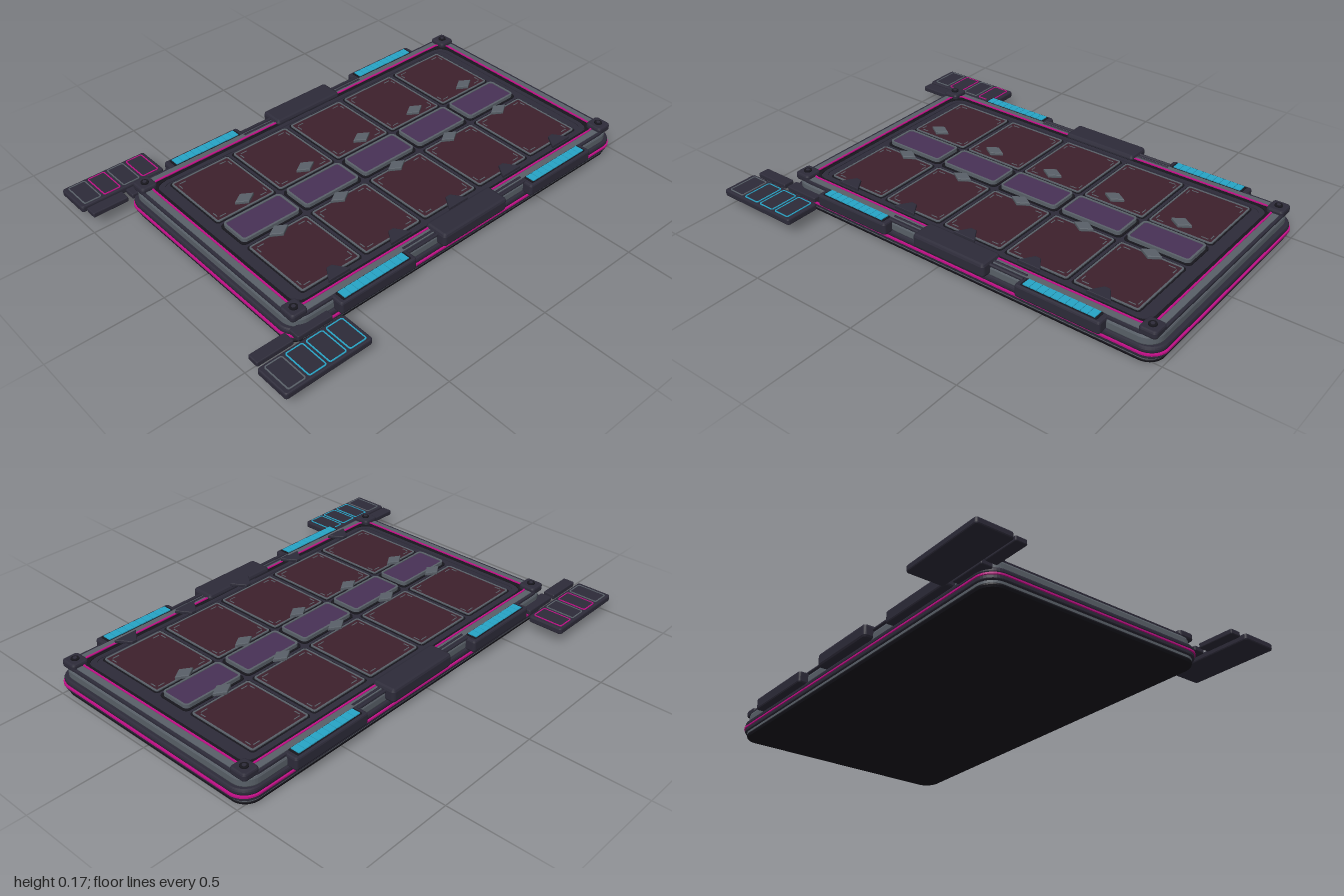
import * as THREE from 'three';

const mat = (name, color) => {
  const m = new THREE.MeshStandardMaterial({ color });
  m.name = name;
  return m;
};

export function createModel() {
  const black = mat('black', 0x17161d);
  const dark = mat('dark slate', 0x2d2b39);
  const grey = mat('steel grey', 0x596068);
  const maroon = mat('maroon', 0x3d202c);
  const purple = mat('purple', 0x483156);
  const magenta = mat('magenta', 0xc00f86);
  const cyan = mat('cyan', 0x27a4c6);

  const model = new THREE.Group();
  model.name = 'cardBoard';
  const CX = 0.09;

  // Rounded rectangle outline, centred on the origin
  const outline = (w, d, r, Type = THREE.Shape) => {
    const s = new Type(), x = w / 2, y = d / 2;
    s.moveTo(-x + r, -y);
    s.lineTo(x - r, -y);
    s.absarc(x - r, -y + r, r, -Math.PI / 2, 0, false);
    s.lineTo(x, y - r);
    s.absarc(x - r, y - r, r, 0, Math.PI / 2, false);
    s.lineTo(-x + r, y);
    s.absarc(-x + r, y - r, r, Math.PI / 2, Math.PI, false);
    s.lineTo(-x, -y + r);
    s.absarc(-x + r, -y + r, r, Math.PI, Math.PI * 1.5, false);
    return s;
  };

  // Extrude a plan shape between heights y0 and y1
  const raise = (name, shape, m, x, z, y0, y1, bevel = 0) => {
    const g = new THREE.ExtrudeGeometry(shape, {
      depth: y1 - y0 - 2 * bevel, curveSegments: 5,
      bevelEnabled: bevel > 0, bevelThickness: bevel, bevelSize: bevel,
      bevelOffset: -bevel, bevelSegments: 2,
    });
    g.rotateX(-Math.PI / 2);
    const mesh = new THREE.Mesh(g, m);
    mesh.name = name;
    mesh.position.set(x, y0 + bevel, z);
    model.add(mesh);
    return mesh;
  };

  const slab = (name, m, x, z, w, d, r, y0, y1, bevel = 0) =>
    raise(name, outline(w, d, r), m, x, z, y0, y1, bevel);

  const ring = (name, m, x, z, w, d, r, t, y0, y1) => {
    const s = outline(w, d, r);
    s.holes.push(outline(w - 2 * t, d - 2 * t, Math.max(r - t, 0.002), THREE.Path));
    return raise(name, s, m, x, z, y0, y1);
  };

  const box = (name, m, x, y, z, w, h, d) => {
    const mesh = new THREE.Mesh(new THREE.BoxGeometry(w, h, d), m);
    mesh.name = name;
    mesh.position.set(x, y, z);
    model.add(mesh);
  };

  // Layered base tray
  slab('baseBottom', black, CX, 0, 1.79, 1.05, 0.07, 0, 0.026, 0.012);
  slab('baseTrim', grey, CX, 0, 1.79, 1.05, 0.07, 0.018, 0.03);
  slab('baseMiddle', dark, CX, 0, 1.81, 1.066, 0.075, 0.028, 0.046, 0.004);
  slab('baseGlowStrip', magenta, CX, 0, 1.82, 1.074, 0.078, 0.044, 0.051);
  slab('baseTop', dark, CX, 0, 1.81, 1.066, 0.075, 0.05, 0.076, 0.009);

  // Upper body with its rim
  slab('upperBody', grey, CX, 0, 1.775, 1.045, 0.07, 0.07, 0.115, 0.01);
  ring('upperRimEdge', dark, CX, 0, 1.765, 1.035, 0.07, 0.012, 0.105, 0.122);
  ring('upperRail', grey, CX, 0, 1.741, 1.011, 0.06, 0.032, 0.1, 0.125);
  ring('railGroove', black, CX, 0, 1.70, 0.97, 0.05, 0.02, 0.11, 0.124);
  ring('deckGlowLine', magenta, CX, 0, 1.685, 0.955, 0.05, 0.008, 0.11, 0.128);
  slab('deck', dark, CX, 0, 1.655, 0.93, 0.06, 0.1, 0.118);
  ring('deckLip', black, CX, 0, 1.668, 0.942, 0.06, 0.016, 0.11, 0.122);
  ring('deckBorder', dark, CX, 0, 1.636, 0.91, 0.06, 0.02, 0.11, 0.121);

  // Corner caps with bolts
  for (const sx of [-1, 1]) for (const sz of [-1, 1]) {
    const x = CX + sx * 0.848, z = sz * 0.477;
    slab('cornerCap', dark, x, z, 0.075, 0.078, 0.015, 0.11, 0.142, 0.008);
    const bolt = new THREE.Mesh(new THREE.CylinderGeometry(0.017, 0.017, 0.008, 12), black);
    bolt.name = 'cornerBolt';
    bolt.position.set(x, 0.143, z);
    model.add(bolt);
    const core = new THREE.Mesh(new THREE.CylinderGeometry(0.009, 0.009, 0.01, 6), dark);
    core.name = 'boltHead';
    core.position.set(x, 0.144, z);
    model.add(core);
  }

  // Plan shapes of the markers
  const diamond = new THREE.Shape([[-0.046, 0], [0, -0.03], [0.046, 0], [0, 0.03]]
    .map(p => new THREE.Vector2(...p)));
  const wedge = new THREE.Shape([[-0.053, -0.03], [0.053, -0.03], [0.012, 0.03], [-0.012, 0.03]]
    .map(p => new THREE.Vector2(...p)));

  // Five columns of card slots
  for (let i = 0; i < 5; i++) {
    const x = 0.087 + (i - 2) * 0.309;
    for (const s of [-1, 1]) {
      const z = s * 0.259;
      slab('slotShadow', black, x, z, 0.295, 0.335, 0.014, 0.115, 0.1195);
      slab('slotPanel', maroon, x, z, 0.272, 0.312, 0.01, 0.116, 0.122);
      ring('slotFrame', grey, x, z, 0.282, 0.322, 0.012, 0.007, 0.116, 0.124);
      // Corner tick marks
      for (const a of [-1, 1]) for (const b of [-1, 1]) {
        box('slotTick', grey, x + a * 0.1, 0.1225, z + b * 0.138, 0.03, 0.002, 0.004);
        box('slotTick', grey, x + a * 0.122, 0.1225, z + b * 0.118, 0.004, 0.002, 0.026);
      }
    }
    slab('centreSlotBase', black, x, 0, 0.298, 0.156, 0.02, 0.115, 0.122);
    slab('centreSlotPanel', purple, x, 0, 0.265, 0.125, 0.014, 0.117, 0.134);
    ring('centreSlotFrame', grey, x, 0, 0.28, 0.14, 0.02, 0.009, 0.117, 0.137);
    raise('rearDiamond', diamond, grey, x, -0.11, 0.15, 0.165, 0.003);
    raise('frontDiamond', diamond, grey, x, 0.106, 0.122, 0.137, 0.003);
    raise('frontWedge', wedge, dark, x, 0.433, 0.136, 0.15, 0.003);
  }

  for (const s of [-1, 1]) {
    // Lit clips along the long edges
    for (const x of [-0.424, 0.592]) {
      slab('edgeClip', dark, x, s * 0.53, 0.375, 0.072, 0.012, 0.07, 0.123, 0.008);
      slab('clipWindow', black, x, s * 0.53, 0.335, 0.048, 0.006, 0.12, 0.125);
      for (let k = 0; k < 10; k++)
        box('clipLight', cyan, x + (k - 4.5) * 0.0318, 0.126, s * 0.53, 0.0295, 0.006, 0.04);
    }
    // Central latch and its cable rods
    slab('edgeLatch', dark, CX - 0.004, s * 0.51, 0.352, 0.108, 0.015, 0.08, 0.14, 0.012);
    for (const x of [-0.165, 0.335]) for (const dz of [0.495, 0.52]) {
      const rod = new THREE.Mesh(new THREE.CylinderGeometry(0.007, 0.007, 0.16, 8), dark);
      rod.name = 'cableRod';
      rod.rotation.z = Math.PI / 2;
      rod.position.set(x, 0.122, s * dz);
      model.add(rod);
    }

    // Side counter trays with four cells
    const z = s * 0.653;
    slab('counterTray', dark, -0.805, z, 0.39, 0.16, 0.012, 0.055, 0.083, 0.006);
    for (let k = 0; k < 4; k++) {
      const x = -0.94 + k * 0.091;
      const glow = s > 0 ? (k === 0 ? grey : cyan) : (k % 2 ? magenta : grey);
      ring('cellOutline', glow, x, z, 0.08, 0.136, 0.01, 0.005, 0.08, 0.086);
      slab('cellPlate', dark, x, z, 0.07, 0.126, 0.006, 0.08, 0.0845);
    }
    // Small tabs beside the trays
    for (const x of [-0.905, -0.725])
      slab('sideTab', dark, x, s * 0.532, 0.162, 0.052, 0.006, 0.064, 0.086, 0.004);
  }
  return model;
}
